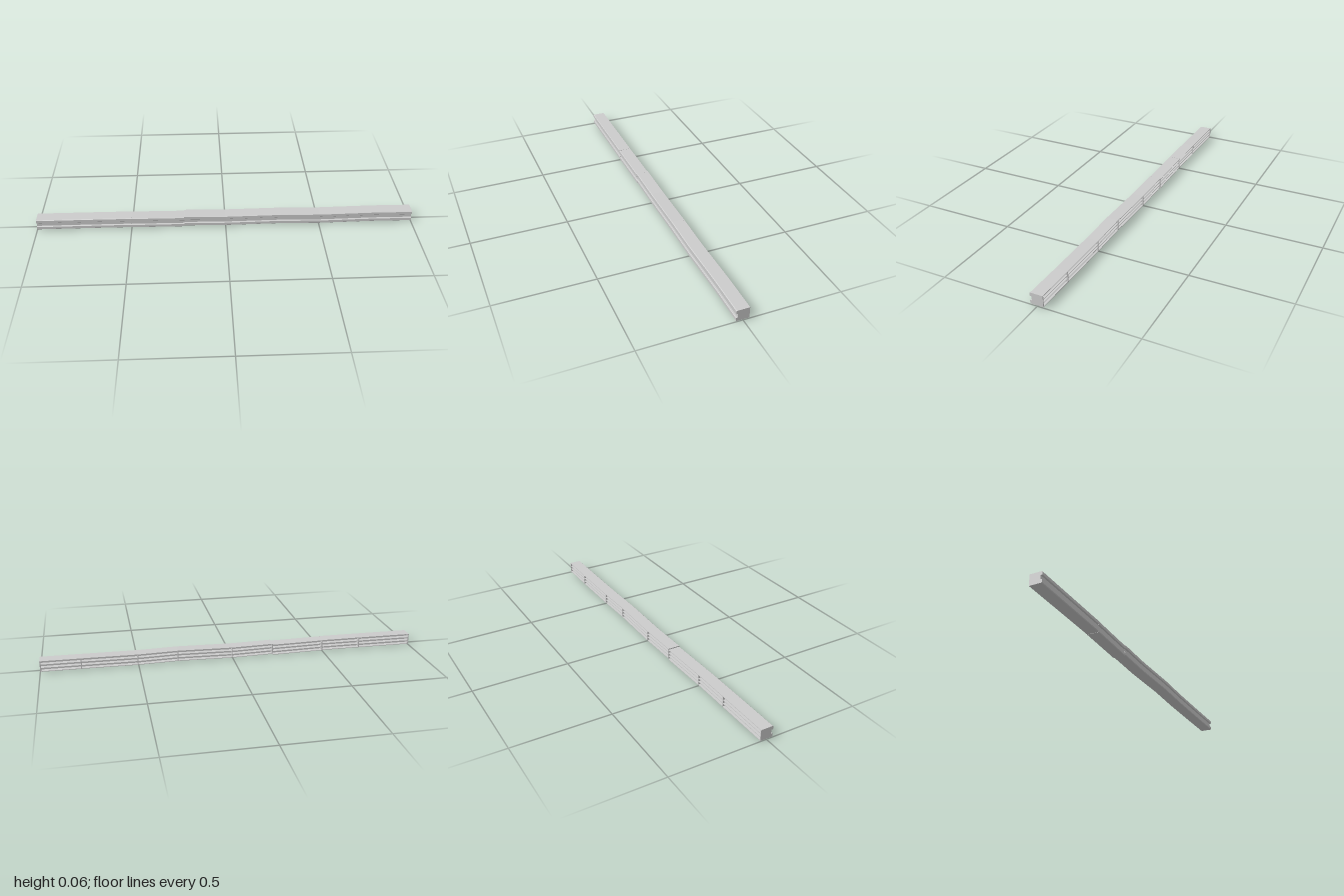
import * as THREE from 'three';

const material = new THREE.MeshStandardMaterial({ color: 0xcccccc, side: THREE.DoubleSide, flatShading: true });
const BOTTOM = 0.0035, TOP = 0.0615, FRONT = 0.034, BACK = -0.032;
const RECESS = -0.008, WALL = 0.003;

// Front half of the section, top to bottom, as [z, y]: two lips around a groove
const frontLine = [
  [FRONT - 0.003, TOP], [FRONT, TOP - 0.003], [FRONT, 0.045], [FRONT - 0.002, 0.043],
  [0.025, 0.043], [0.025, 0.022], [FRONT - 0.002, 0.022], [FRONT, 0.020],
  [FRONT, BOTTOM + 0.003], [FRONT - 0.003, BOTTOM],
];
// Closed back with small chamfers
const closedBack = [[BACK + 0.003, BOTTOM], [BACK, BOTTOM + 0.003], [BACK, TOP - 0.003], [BACK + 0.003, TOP]];
// Open back: three lengthwise channels divided by two thin shelves
const openBack = [[BACK, BOTTOM]];
const pitch = (TOP - BOTTOM - WALL) / 3;
for (let i = 0; i < 3; i++) {
  const low = BOTTOM + WALL + i * pitch, high = low + pitch - WALL;
  openBack.push([BACK, low], [RECESS, low], [RECESS, high], [BACK, high]);
}
openBack.push([BACK, TOP]);

// Run a section from x0 to x1, shifting it linearly from offset a to offset b
function run(name, back, x0, x1, a, b) {
  const shape = new THREE.Shape([...frontLine, ...back].map(([z, y]) => new THREE.Vector2(-z, y)));
  const geometry = new THREE.ExtrudeGeometry(shape, { depth: x1 - x0, bevelEnabled: false });
  geometry.rotateY(Math.PI / 2).translate(x0, 0, 0);
  const p = geometry.attributes.position;
  for (let i = 0; i < p.count; i++) {
    const t = (p.getX(i) - x0) / (x1 - x0);
    p.setY(i, p.getY(i) + a[0] + (b[0] - a[0]) * t);
    p.setZ(i, p.getZ(i) + a[1] + (b[1] - a[1]) * t);
  }
  geometry.computeVertexNormals();
  const mesh = new THREE.Mesh(geometry, material);
  mesh.name = name;
  return mesh;
}

export function createModel() {
  const group = new THREE.Group();
  group.name = 'beam';

  // Lengths of rail: start x, end x, then [y, z] offset at each end
  const rails = [
    [-1, -0.71, [0, -0.001], [0.001, 0]],
    [-0.71, -0.5, [0.001, 0], [0.001, 0.001]],
    [-0.5, -0.22, [0, 0.001], [-0.0035, -0.001]],
    [-0.22, 0, [0.002, -0.001], [-0.002, -0.001]],
    [0, 0.29, [-0.002, -0.001], [0.0025, 0.001]],
    [0.29, 0.5, [0.0025, 0.001], [-0.002, 0.001]],
    [0.5, 0.79, [-0.002, 0.001], [0.001, -0.001]],
    [0.79, 1, [0.001, -0.001], [0.001, 0.001]],
  ];
  const rib = 0.005;
  rails.forEach(([x0, x1, a, b], i) => {
    group.add(run('railSection', openBack, x0, x1, a, b));
    // Solid rib closing the channels at each joint
    group.add(run(i ? 'jointRib' : 'endCap', closedBack, x0, x0 + rib, a, a));
    if (i === rails.length - 1) group.add(run('endCap', closedBack, x1 - rib, x1, b, b));
  });
  return group;
}
